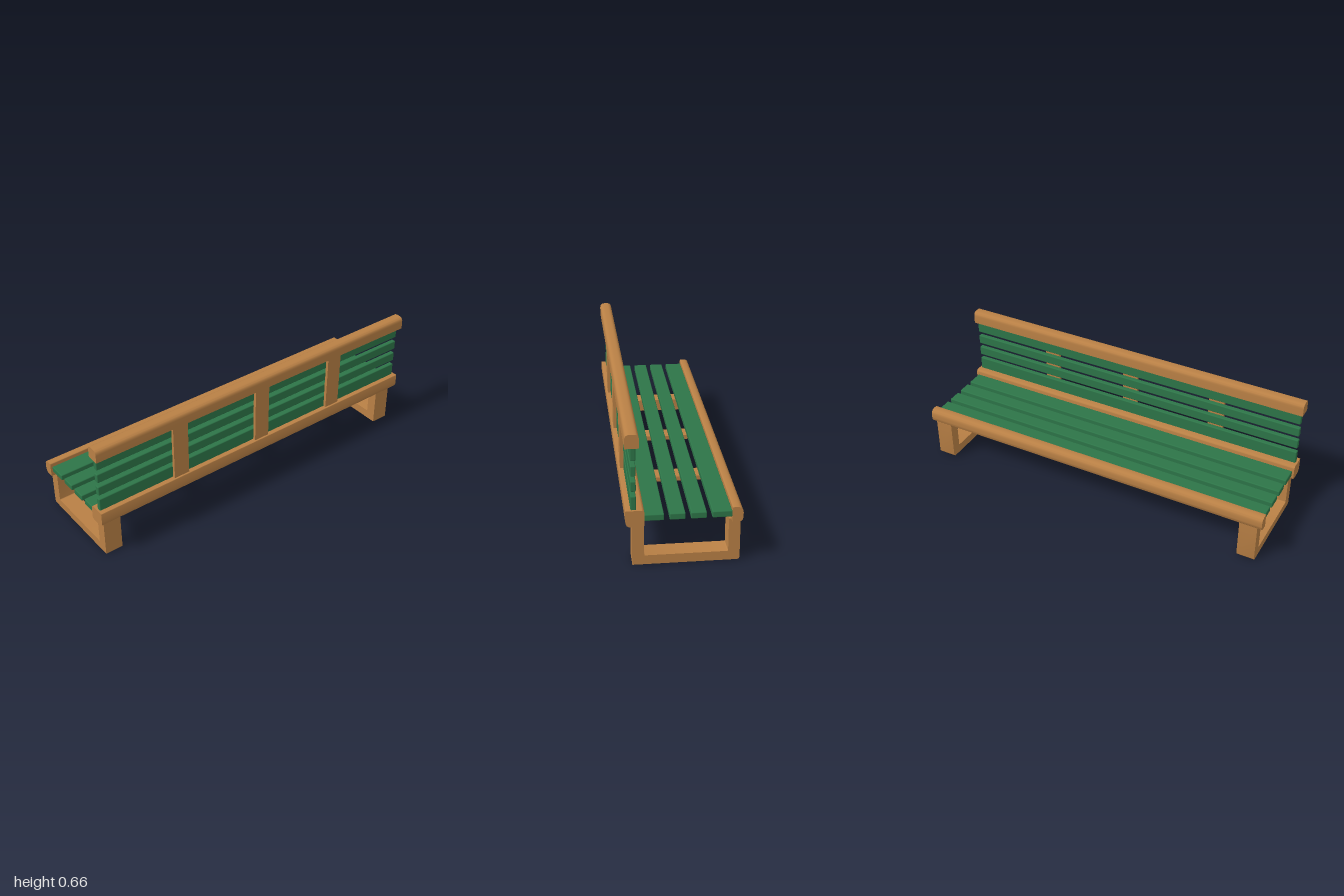
import * as THREE from 'three';
import { toCreasedNormals } from 'three/addons/utils/BufferGeometryUtils.js';
import { RoundedBoxGeometry } from 'three/addons/geometries/RoundedBoxGeometry.js';

const wood = new THREE.MeshStandardMaterial({ color: 0xb98045 });
const green = new THREE.MeshStandardMaterial({ color: 0x2d7548 });

// Closed outline through [z, y, cornerRadius] points
function roundedOutline(points) {
  const shape = new THREE.Shape();
  const n = points.length;
  points.forEach(([z, y, r], i) => {
    const corner = new THREE.Vector2(-z, y);
    const toward = (p) => new THREE.Vector2(-p[0], p[1]).sub(corner).setLength(r).add(corner);
    const a = toward(points[(i + n - 1) % n]);
    const b = toward(points[(i + 1) % n]);
    if (i === 0) shape.moveTo(a.x, a.y);
    else shape.lineTo(a.x, a.y);
    if (r > 0) shape.quadraticCurveTo(corner.x, corner.y, b.x, b.y);
  });
  shape.closePath();
  return shape;
}

// Side profile extruded along the bench, centred on x
function extruded(name, points, length, x = 0) {
  const geometry = new THREE.ExtrudeGeometry(roundedOutline(points), {
    depth: length, bevelEnabled: false, curveSegments: 6,
  });
  geometry.translate(0, 0, -length / 2).rotateY(Math.PI / 2);
  const mesh = new THREE.Mesh(toCreasedNormals(geometry, 0.6), wood);
  mesh.name = name;
  mesh.position.x = x;
  return mesh;
}

// Box given by its x centre and width and its y and z limits
function board(name, material, x, width, [y0, y1], [z0, z1], radius = 0) {
  const size = [width, y1 - y0, z1 - z0];
  const geometry = radius
    ? new RoundedBoxGeometry(...size, 2, radius)
    : new THREE.BoxGeometry(...size);
  const mesh = new THREE.Mesh(geometry, material);
  mesh.name = name;
  mesh.position.set(x, (y0 + y1) / 2, (z0 + z1) / 2);
  return mesh;
}

export function createModel() {
  const bench = new THREE.Group();
  bench.name = 'bench';

  // Long wooden rails
  const railLength = 1.94;
  bench.add(
    extruded('backTopRail', [
      [0.2, 0.595, 0], [0.265, 0.595, 0], [0.265, 0.662, 0.025], [0.2, 0.662, 0.025],
    ], railLength),
    extruded('backLowerRail', [
      [0.178, 0.207, 0.015], [0.265, 0.207, 0.03], [0.265, 0.29, 0.004], [0.178, 0.29, 0.018],
    ], railLength),
    extruded('seatFrontRail', [
      [-0.27, 0.207, 0.03], [-0.22, 0.207, 0], [-0.22, 0.284, 0.006], [-0.27, 0.284, 0.03],
    ], railLength),
  );

  // Green slats of the seat and the backrest
  const slatLength = 1.92;
  for (const z of [[-0.222, -0.13], [-0.105, -0.033], [-0.008, 0.064], [0.089, 0.18]]) {
    bench.add(board('seatSlat', green, 0, slatLength, [0.23, 0.262], z, 0.005));
  }
  for (const y of [[0.53, 0.6], [0.455, 0.506], [0.38, 0.431], [0.285, 0.357]]) {
    bench.add(board('backSlat', green, 0, slatLength, y, [0.215, 0.24], 0.005));
  }

  // Wooden uprights behind the backrest and struts under the seat
  for (const x of [-0.498, 0.005, 0.488]) {
    bench.add(board('backUpright', wood, x, 0.086, [0.285, 0.6], [0.239, 0.256]));
    bench.add(board('seatStrut', wood, x, 0.086, [0.209, 0.231], [-0.225, 0.185]));
  }

  // U-shaped legs
  for (const side of [-1, 1]) {
    bench.add(extruded('leg', [
      [-0.262, 0, 0.016], [0.234, 0, 0], [0.234, 0.215, 0], [0.18, 0.215, 0],
      [0.18, 0.046, 0.006], [-0.208, 0.046, 0.006], [-0.208, 0.215, 0], [-0.262, 0.215, 0],
    ], 0.094, side * 0.899));
  }

  // The bench stands turned about the vertical
  bench.rotation.y = 0.365;
  const model = new THREE.Group();
  model.name = 'parkBench';
  model.add(bench);
  return model;
}
